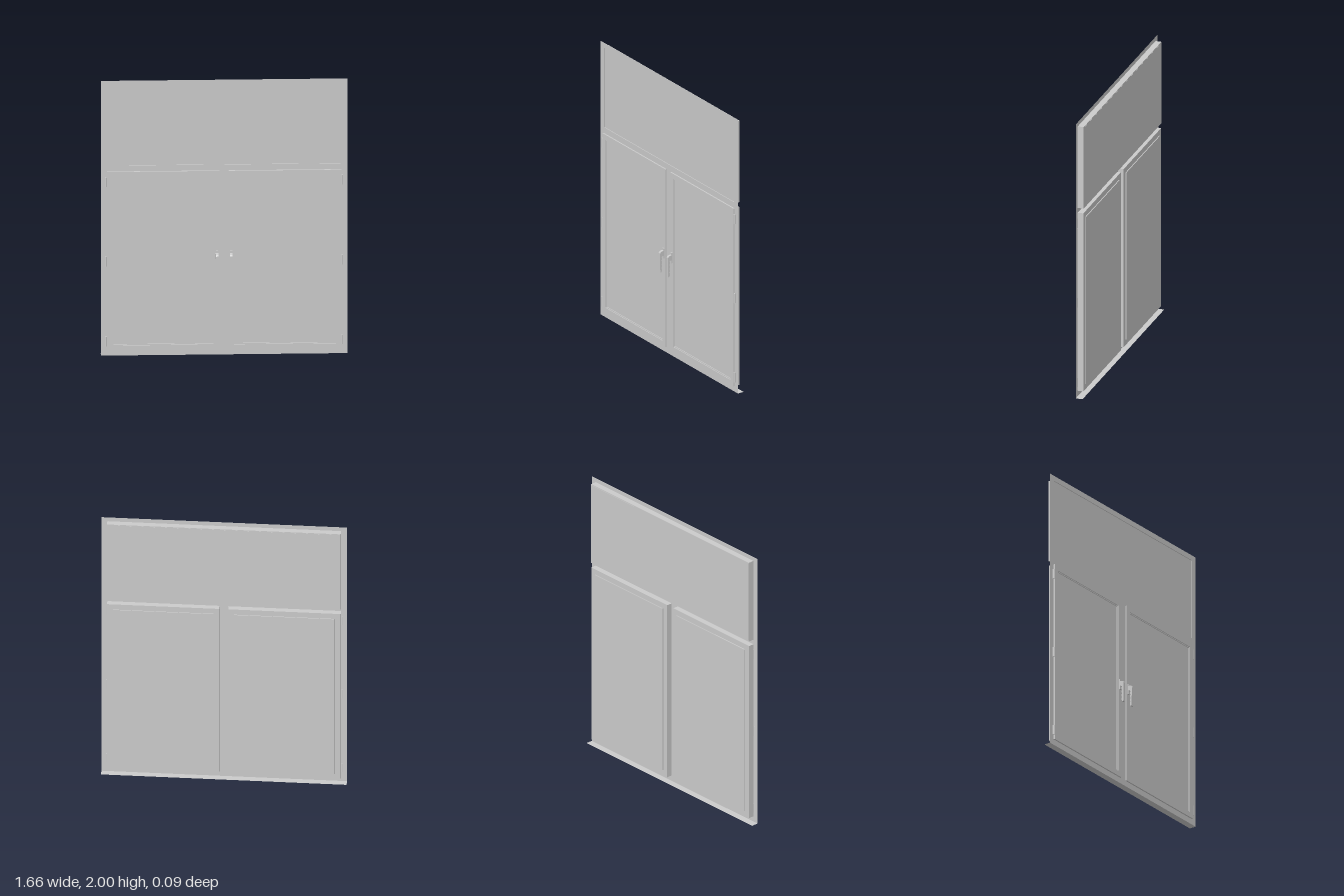
import * as THREE from 'three';

const mat = new THREE.MeshStandardMaterial({ color: 0xcccccc, flatShading: true });
const sheetMat = new THREE.MeshStandardMaterial({ color: 0xcccccc, side: THREE.DoubleSide });

// Rectangle [x0, y0, x1, y1] as a closed path
function rect(Type, [x0, y0, x1, y1]) {
  const p = new Type();
  p.moveTo(x0, y0); p.lineTo(x1, y0); p.lineTo(x1, y1); p.lineTo(x0, y1); p.closePath();
  return p;
}
const inset = ([x0, y0, x1, y1], d) => [x0 + d, y0 + d, x1 - d, y1 - d];

function add(parent, name, geometry, material = mat) {
  const m = new THREE.Mesh(geometry, material);
  m.name = name;
  parent.add(m);
  return m;
}

function box(parent, name, x0, x1, y0, y1, z0, z1) {
  const m = add(parent, name, new THREE.BoxGeometry(x1 - x0, y1 - y0, z1 - z0));
  m.position.set((x0 + x1) / 2, (y0 + y1) / 2, (z0 + z1) / 2);
  return m;
}

// Rectangular ring of a given width, from z0 to z1
function ring(parent, name, outer, width, z0, z1) {
  const s = rect(THREE.Shape, outer);
  s.holes.push(rect(THREE.Path, inset(outer, width)));
  const g = new THREE.ExtrudeGeometry(s, { depth: z1 - z0, bevelEnabled: false });
  g.translate(0, 0, z0);
  return add(parent, name, g);
}

function pane(parent, name, [x0, y0, x1, y1], z0, z1) {
  return box(parent, name, x0, x1, y0, y1, z0, z1);
}

// Lever handle in side profile, with finger grooves on the inner edge
function handle(parent, x) {
  const g = new THREE.Group();
  g.name = 'handle';
  g.position.x = x;
  box(g, 'handlePlate', -0.008, 0.008, 0.685, 0.76, 0.01, 0.017);
  const s = new THREE.Shape();
  s.moveTo(0.015, 0.71);
  s.lineTo(0.015, 0.745);
  s.lineTo(0.04, 0.74);
  s.lineTo(0.046, 0.73);
  s.lineTo(0.045, 0.59);
  s.lineTo(0.035, 0.59);
  for (let i = 0; i < 4; i++) {
    const y = 0.595 + i * 0.027;
    s.quadraticCurveTo(0.028, y + 0.012, 0.034, y + 0.027);
  }
  s.closePath();
  const lever = new THREE.ExtrudeGeometry(s, { depth: 0.018, bevelEnabled: false, curveSegments: 4 });
  lever.translate(0, 0, -0.009);
  lever.rotateY(-Math.PI / 2); // profile x becomes depth
  add(g, 'handleLever', lever);
  parent.add(g);
}

export function createModel() {
  const root = new THREE.Group();
  root.name = 'window';

  const topLight = [-0.79, 1.375, 0.79, 1.97];
  const sashes = [[-0.79, 0.04, -0.03, 1.34], [0.03, 0.04, 0.79, 1.34]];

  // Fixed frame: thin front face with three openings, and a sill sheet
  const face = rect(THREE.Shape, [-0.83, 0, 0.83, 2]);
  for (const o of [topLight, ...sashes]) face.holes.push(rect(THREE.Path, o));
  add(root, 'frameFace', new THREE.ShapeGeometry(face), sheetMat);
  const sill = add(root, 'sill', new THREE.PlaneGeometry(1.66, 0.048), sheetMat);
  sill.rotation.x = -Math.PI / 2;
  sill.position.z = -0.024;

  // Fixed top light
  ring(root, 'topLightBead', topLight, 0.007, -0.042, 0);
  pane(root, 'topLightPane', inset(topLight, 0.006), -0.043, -0.005);

  // Opening sashes with hinges and handles
  sashes.forEach((outer, i) => {
    const side = i ? 1 : -1;
    const g = new THREE.Group();
    g.name = i ? 'leftSash' : 'rightSash';
    ring(g, 'sashFrame', outer, 0.036, -0.04, 0.01);
    ring(g, 'glazingBead', inset(outer, 0.035), 0.008, -0.04, 0.005);
    pane(g, 'sashPane', inset(outer, 0.04), -0.046, 0);
    for (const y of [0.105, 0.685, 1.265]) {
      const hinge = add(g, 'hinge', new THREE.CylinderGeometry(0.006, 0.006, 0.07, 12));
      hinge.position.set(side * 0.796, y, 0.004);
    }
    handle(g, side * 0.048);
    root.add(g);
  });

  return root;
}
